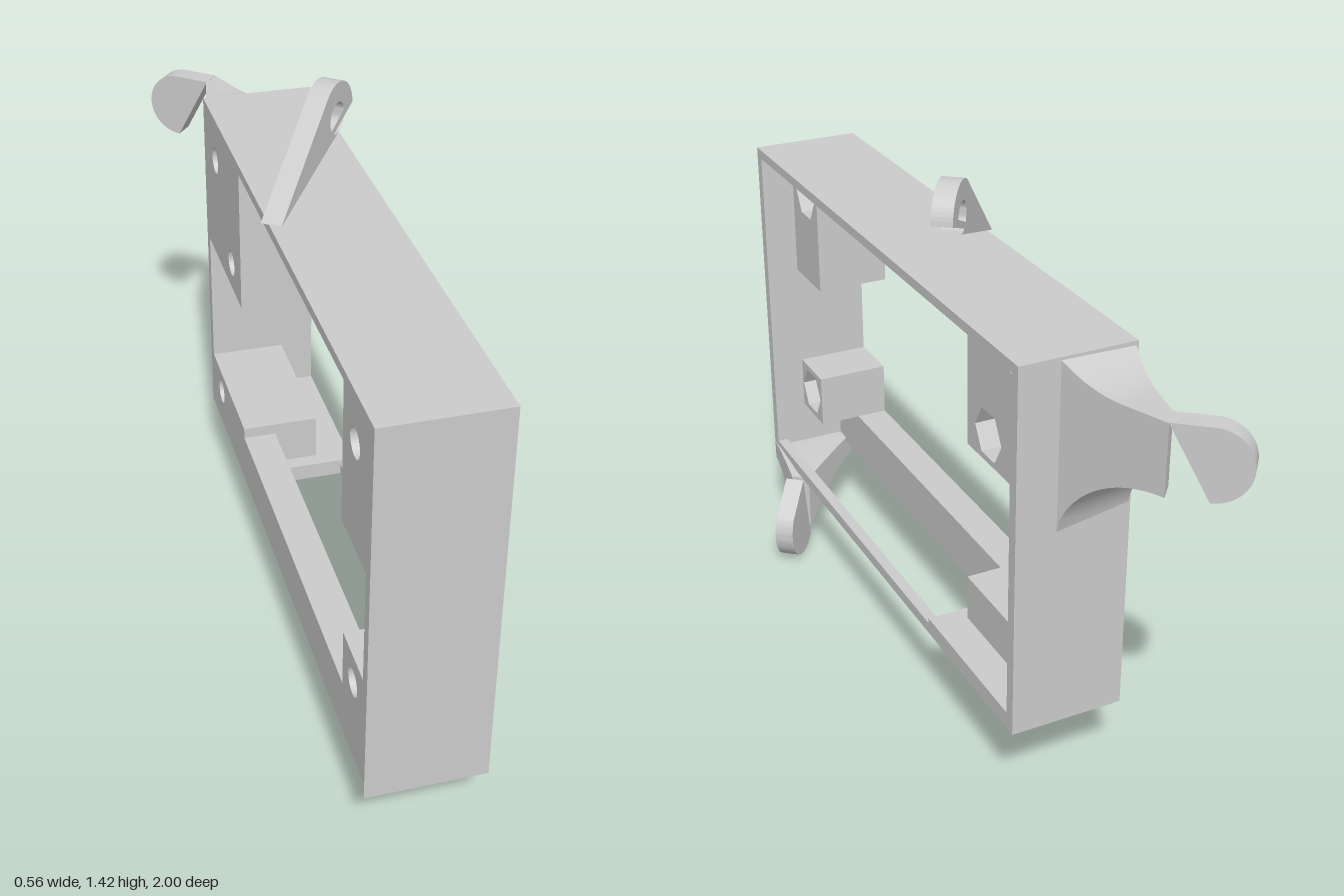
import * as THREE from 'three';
import { toCreasedNormals } from 'three/addons/utils/BufferGeometryUtils.js';

const grey = new THREE.MeshStandardMaterial({ color: 0xcccccc });
const greyDouble = new THREE.MeshStandardMaterial({ color: 0xcccccc, side: THREE.DoubleSide });
const THICK = 0.053; // lug plate thickness
const rad = THREE.MathUtils.degToRad;

function add(parent, name, geometry, material = grey) {
  const mesh = new THREE.Mesh(geometry, material);
  mesh.name = name;
  parent.add(mesh);
  return mesh;
}

// Box given by its limits on each axis
function box(parent, name, [x0, x1], [y0, y1], [z0, z1]) {
  const g = new THREE.BoxGeometry(x1 - x0, y1 - y0, z1 - z0);
  g.translate((x0 + x1) / 2, (y0 + y1) / 2, (z0 + z1) / 2);
  return add(parent, name, g);
}

function polygonHole(x, y, r, sides) {
  const pts = [];
  for (let i = 0; i < sides; i++) {
    const a = -i / sides * Math.PI * 2;
    pts.push(new THREE.Vector2(x + r * Math.cos(a), y + r * Math.sin(a)));
  }
  return new THREE.Path(pts);
}

// Mounting block: round bolt holes behind, hexagonal nut pockets in front
function mountBlock(parent, name, [y0, y1], [z0, z1], holes) {
  const layer = (x0, x1, r, sides) => {
    const s = new THREE.Shape();
    s.moveTo(-z1, y0).lineTo(-z0, y0).lineTo(-z0, y1).lineTo(-z1, y1).closePath();
    for (const [z, y] of holes) s.holes.push(polygonHole(-z, y, r, sides));
    const g = new THREE.ExtrudeGeometry(s, { depth: x1 - x0, bevelEnabled: false });
    g.translate(0, 0, x0).rotateY(Math.PI / 2);
    return toCreasedNormals(g, 0.5);
  };
  const block = new THREE.Group();
  block.name = name;
  add(block, 'boltHoles', layer(-0.147, -0.05, 0.035, 24));
  add(block, 'nutPockets', layer(-0.05, 0.056, 0.068, 6));
  parent.add(block);
}

// Flat lug: outline swept from its start points round an eye with a hole at the origin
function lug(parent, name, r, start, a0, a1, end, [x, y, z], angle) {
  const s = new THREE.Shape();
  s.moveTo(...start);
  s.absarc(0, 0, r, rad(a0), rad(a1), false);
  s.lineTo(...end);
  s.closePath();
  s.holes.push(polygonHole(0, 0, 0.04, 28));
  const g = new THREE.ExtrudeGeometry(s, { depth: THICK, bevelEnabled: false, curveSegments: 28 });
  g.translate(0, 0, -THICK / 2);
  const mesh = add(parent, name, toCreasedNormals(g, 0.5));
  mesh.position.set(x, y, z);
  mesh.rotation.y = rad(angle);
}

// Flared arm: rectangular sections running between two plan segments
function flaredArm(parent, name, from, to, low, high) {
  const N = 16, pos = [], idx = [];
  const mix = THREE.MathUtils.lerp;
  for (let i = 0; i <= N; i++) {
    const t = i / N;
    const [ax, az, bx, bz] = from.map((v, k) => mix(v, to[k], t));
    pos.push(ax, low(t), az, bx, low(t), bz, bx, high(t), bz, ax, high(t), az);
    if (i === N) break;
    for (let k = 0; k < 4; k++) {
      const a = i * 4 + k, b = i * 4 + (k + 1) % 4;
      idx.push(a, a + 4, b, b, a + 4, b + 4);
    }
  }
  const e = N * 4;
  idx.push(0, 1, 2, 0, 2, 3, e, e + 2, e + 1, e, e + 3, e + 2);
  const g = new THREE.BufferGeometry();
  g.setAttribute('position', new THREE.Float32BufferAttribute(pos, 3));
  g.setIndex(idx);
  g.computeVertexNormals();
  add(parent, name, toCreasedNormals(g, 0.5), greyDouble);
}

export function createModel() {
  const model = new THREE.Group();
  model.name = 'mountingFrame';

  // Rectangular frame, turned ten degrees about the vertical
  const frame = new THREE.Group();
  frame.name = 'frame';
  frame.position.set(-0.0025, 0, 0.19);
  frame.rotation.y = rad(-10);
  model.add(frame);
  const W = [-0.147, 0.147];
  box(frame, 'topWall', W, [1.16, 1.185], [-0.792, 0.792]);
  box(frame, 'frontWall', W, [0.22, 1.16], [0.762, 0.792]);
  box(frame, 'backWall', W, [0.22, 1.16], [-0.792, -0.762]);

  // Floor with a long slot between the rear bar and the thin rim
  box(frame, 'floor', W, [0.22, 0.265], [-0.762, -0.33]);
  box(frame, 'floorRim', [0.117, 0.147], [0.22, 0.25], [-0.33, 0.762]);
  box(frame, 'bottomBar', [-0.147, -0.06], [0.22, 0.36], [-0.37, 0.762]);

  // Corner blocks
  mountBlock(frame, 'upperBackBlock', [0.775, 1.16], [-0.762, -0.37], [[-0.654, 1.065], [-0.48, 0.85]]);
  mountBlock(frame, 'lowerBackBlock', [0.265, 0.39], [-0.762, -0.37], [[-0.66, 0.327]]);
  mountBlock(frame, 'upperFrontBlock', [0.805, 1.16], [0.58, 0.762], [[0.667, 1.065]]);
  mountBlock(frame, 'lowerFrontBlock', [0.36, 0.51], [0.609, 0.762], [[0.688, 0.435]]);

  // Top lug with a triangular web
  lug(model, 'topLug', 0.09, [0.11, -0.147], 5, 130, [-0.31, -0.147], [0.104, 1.33, -0.084], 40);

  // Back lug on an arm flaring out of the end wall
  flaredArm(model, 'backArm', [-0.01, -0.6, 0.18, -0.57], [0.082, -0.828, 0.124, -0.862],
    t => 0.69 + 0.265 * Math.sqrt(1 - (1 - t) ** 2),
    t => 1.13 + 0.055 * Math.max(0, 1 - t / 0.6) ** 2);
  lug(model, 'backLug', 0.088, [-0.095, -0.088], -90, 90, [-0.095, 0.088], [0.043, 1.043, -0.916], 130);

  // Bottom lug on an arm flaring from the front corner
  flaredArm(model, 'bottomArm', [-0.285, 0.945, 0.005, 0.995], [0.026, 0.765, 0.06, 0.805],
    t => 0.18 - 0.13 * t * t, t => 0.235 - 0.02 * t * t);
  lug(model, 'bottomLug', 0.097, [-0.065, -0.05], -130, 35, [-0.02, 0.135], [0.093, 0.097, 0.745], 40);

  return model;
}
